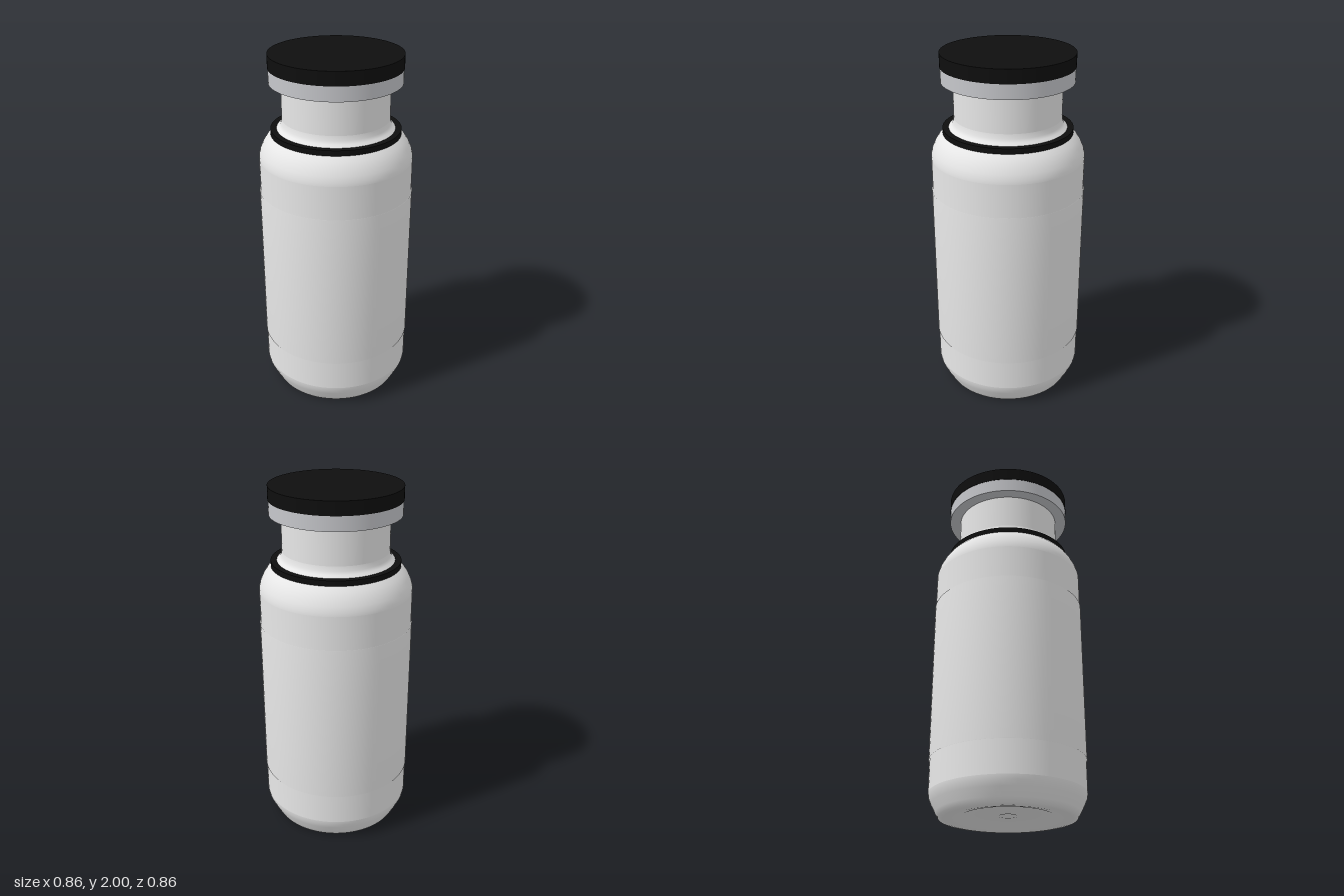
import * as THREE from 'three';

const SEGMENTS = 96;

const material = (name, color) => {
  const m = new THREE.MeshStandardMaterial({ color });
  m.name = name;
  return m;
};

// Turned part from [radius, height] points, listed from the bottom up
function turned(name, points, mat) {
  const profile = points.map(([r, y]) => new THREE.Vector2(r, y));
  const mesh = new THREE.Mesh(new THREE.LatheGeometry(profile, SEGMENTS), mat);
  mesh.name = name;
  return mesh;
}

// Crisp-edged solid disc
function disc(name, radius, y0, y1, mat) {
  const mesh = new THREE.Mesh(new THREE.CylinderGeometry(radius, radius, y1 - y0, SEGMENTS), mat);
  mesh.position.y = (y0 + y1) / 2;
  mesh.name = name;
  return mesh;
}

export function createModel() {
  const glass = material('white glass', 0xf2f2f2);
  const paper = material('label white', 0xf4f4f4);
  const metal = material('crimp silver', 0xc6c7cb);
  const black = material('black plastic', 0x0e0e0e);

  const group = new THREE.Group();
  group.name = 'vial';

  // Underside with a raised centre and a shallow ring
  group.add(turned('base', [
    [0, 0.035], [0.02, 0.03], [0.05, 0.018], [0.09, 0.022], [0.15, 0.03],
    [0.21, 0.024], [0.25, 0.01], [0.3, 0.002], [0.345, 0], [0.37, 0.004],
    [0.385, 0.03], [0.408, 0.075], [0.421, 0.105], [0.425, 0.13],
  ], glass));

  // Straight wall, then rounded shoulder and neck
  group.add(turned('wall', [[0.425, 0.13], [0.425, 1.42]], glass));
  group.add(turned('shoulder', [
    [0.425, 1.42], [0.424, 1.44], [0.416, 1.47], [0.4, 1.505], [0.38, 1.535],
    [0.355, 1.562], [0.33, 1.585], [0.308, 1.603], [0.299, 1.62], [0.295, 1.645],
  ], glass));
  group.add(turned('neck', [[0.295, 1.645], [0.295, 1.86]], glass));

  // Wrapped label, soft normals over its turned-in edges
  group.add(turned('label', [[0.4, 0.31], [0.429, 0.31], [0.429, 1.23], [0.4, 1.23]], paper));

  // Collar ring around the shoulder
  const ring = new THREE.Shape().absarc(0, 0, 0.357, 0, Math.PI * 2);
  ring.holes.push(new THREE.Path().absarc(0, 0, 0.318, 0, Math.PI * 2, true));
  const collar = new THREE.Mesh(
    new THREE.ExtrudeGeometry(ring, { depth: 0.03, bevelEnabled: false, curveSegments: SEGMENTS }),
    black,
  );
  collar.rotation.x = -Math.PI / 2;
  collar.position.y = 1.56;
  collar.name = 'collarRing';
  group.add(collar);

  // Metal crimp and flip-off cap
  group.add(disc('crimp', 0.36, 1.845, 1.93, metal));
  group.add(disc('cap', 0.362, 1.925, 2, black));

  return group;
}
